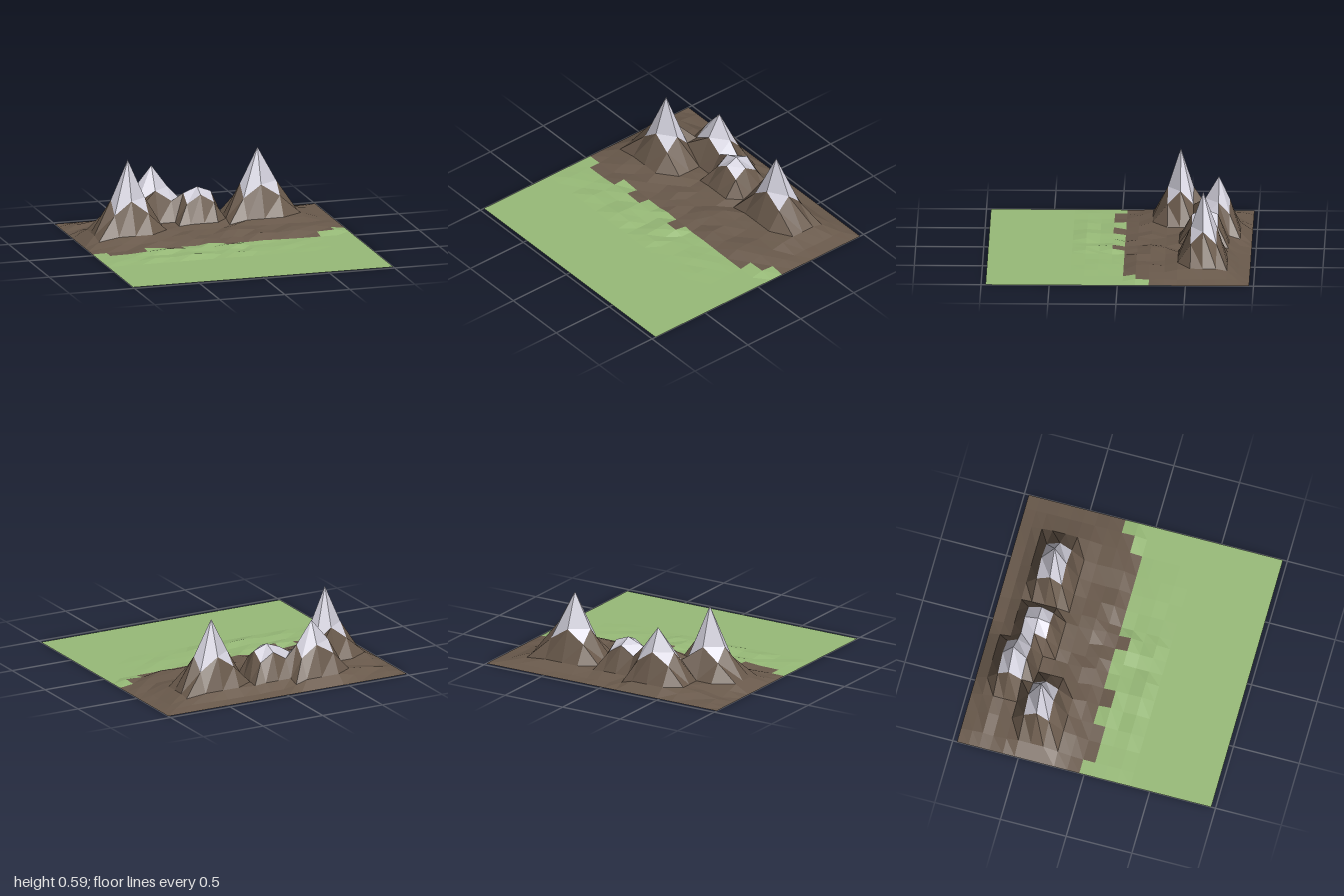
import * as THREE from 'three';

// Grid lines of the terrain
const COLS = [-1, -.89, -.735, -.605, -.475, -.335, -.21, -.12, -.015, .09, .18, .315, .45, .595, .755, .89, 1];
const ROWS = [-.967, -.88, -.8, -.72, -.62, -.53, -.435, -.34, -.23, -.13, -.037, .054, .15, .25, .35, .967];

// Peaks: grid position, summit height, shoulder height, shoulder corner height
const PEAKS = [
  { col: 3, row: 6, top: .59, side: .295, corner: .195 },
  { col: 5, row: 3, top: .455, side: .285, corner: .2 },
  { col: 8, row: 4, top: .295, side: .255, corner: .19 },
  { col: 12, row: 4, top: .56, side: .295, corner: .2 },
];

// Number of rock cells from the back edge, for each column of cells
const ROCK_DEPTH = [10, 11, 11, 10, 11, 10, 10, 10, 11, 10, 10, 10, 10, 10, 9, 8];

function hash(i, j) {
  const s = Math.sin(i * 12.99 + j * 78.23) * 43758.55;
  return s - Math.floor(s);
}

// Low rolling ground, fading to flat at the borders and the meadow
function groundHeight(i, j) {
  if (i === 0 || i === COLS.length - 1 || j === 0 || j >= ROWS.length - 2) return 0;
  const n = hash(i, j);
  if (j >= 10) return i >= 3 && i <= 9 ? .024 * n : i < 14 ? .008 * n : 0;
  if (i === 1 || i === 15 || j === 1) return .01 + .015 * n;
  return j === 9 ? .01 + .035 * n : .025 + .03 * n;
}

function height(i, j) {
  let h = groundHeight(i, j);
  for (const p of PEAKS) {
    const dx = Math.abs(i - p.col), dz = Math.abs(j - p.row);
    const ring = Math.max(dx, dz);
    if (ring === 0) h = Math.max(h, p.top);
    else if (ring === 1) h = Math.max(h, dx + dz === 1 ? p.side : p.corner);
    else if (ring === 2) h = Math.max(h, dx + dz === 4 ? .035 : .06);
  }
  return h;
}

function point(i, j) {
  const shift = j >= 9 && j < ROWS.length - 1 && i >= 4 && i <= 9 ? .02 : 0;
  return [COLS[i] + shift, height(i, j), ROWS[j]];
}

export function createModel() {
  const group = new THREE.Group();
  group.name = 'mountainTerrain';
  const parts = {
    snowCaps: { color: 0xd2d0dc, positions: [] },
    rockyMountains: { color: 0x6a5a4c, positions: [] },
    grassMeadow: { color: 0x98bb78, positions: [] },
  };

  // Sort each grid cell into snow, rock or grass
  for (let i = 0; i < COLS.length - 1; i++) {
    for (let j = 0; j < ROWS.length - 1; j++) {
      const a = point(i, j), b = point(i, j + 1), c = point(i + 1, j + 1), d = point(i + 1, j);
      const mean = (a[1] + b[1] + c[1] + d[1]) / 4;
      const name = mean > .215 ? 'snowCaps' : j < ROCK_DEPTH[i] ? 'rockyMountains' : 'grassMeadow';
      parts[name].positions.push(...a, ...b, ...d, ...b, ...c, ...d);
    }
  }

  for (const [name, { color, positions }] of Object.entries(parts)) {
    const geometry = new THREE.BufferGeometry();
    geometry.setAttribute('position', new THREE.Float32BufferAttribute(positions, 3));
    geometry.computeVertexNormals();
    const material = new THREE.MeshStandardMaterial({ color, flatShading: true, side: THREE.DoubleSide });
    const mesh = new THREE.Mesh(geometry, material);
    mesh.name = name;
    group.add(mesh);
  }
  return group;
}
